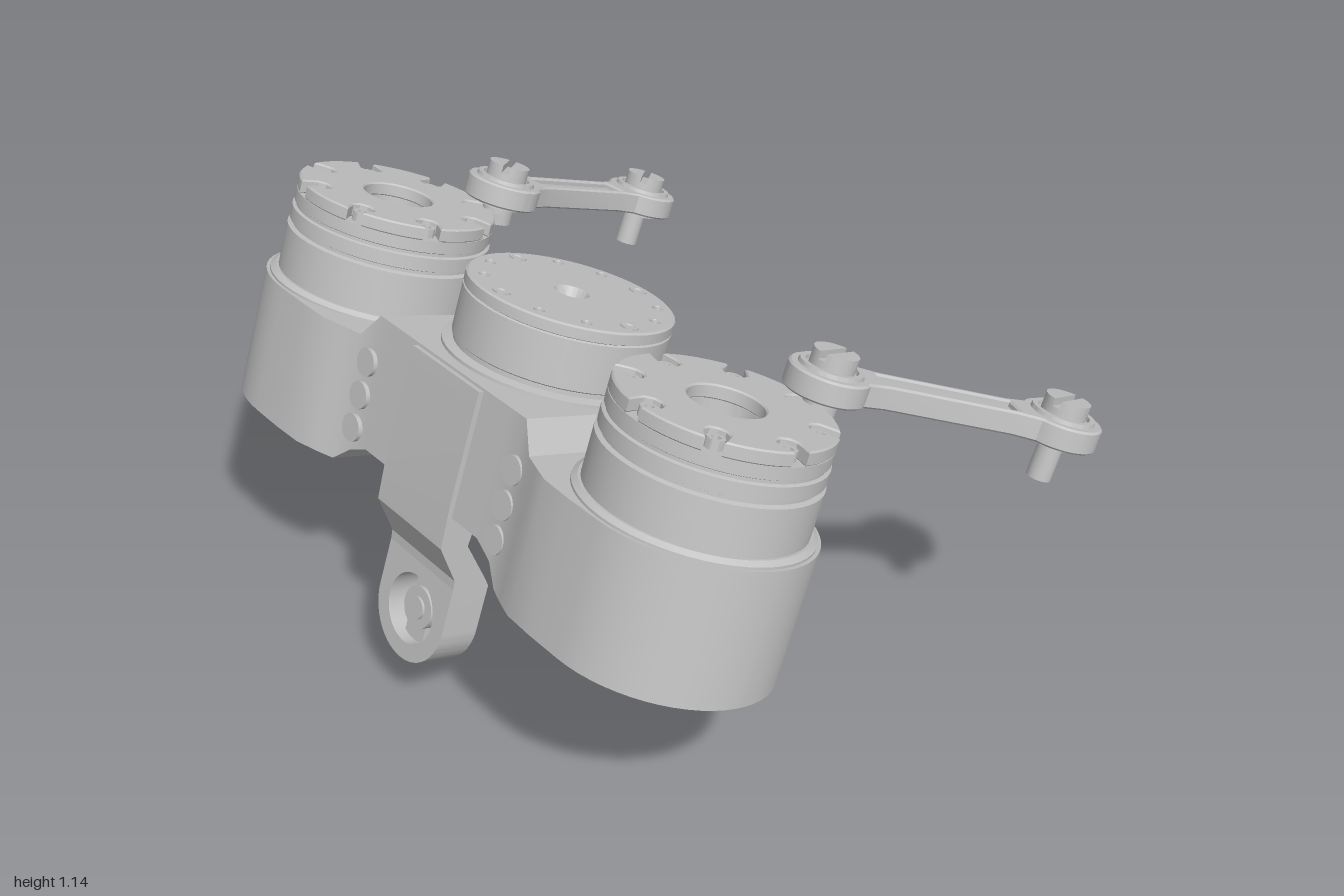
import * as THREE from 'three';
import { toCreasedNormals } from 'three/addons/utils/BufferGeometryUtils.js';

const metal = new THREE.MeshStandardMaterial({ color: 0xc1c1c1 });
metal.name = 'grey metal';
const V = (x, y, z) => new THREE.Vector3(x, y, z);

function add(parent, name, geo, x = 0, y = 0, z = 0) {
  const m = new THREE.Mesh(geo, metal);
  m.name = name;
  m.position.set(x, y, z);
  parent.add(m);
  return m;
}
const group = (parent, name) => {
  const g = new THREE.Group();
  g.name = name;
  parent.add(g);
  return g;
};
const cyl = (r, h, n = 24) => new THREE.CylinderGeometry(r, r, h, n);
const lathe = (pts) => toCreasedNormals(
  new THREE.LatheGeometry(pts.map(p => new THREE.Vector2(p[0], p[1])), 56), 0.5);

// Flat shape raised upwards
function slab(shape, h, bevel = 0) {
  const g = new THREE.ExtrudeGeometry(shape, {
    depth: h - 2 * bevel, curveSegments: 20, bevelEnabled: bevel > 0,
    bevelSize: bevel, bevelThickness: bevel, bevelOffset: -bevel, bevelSegments: 1 });
  g.translate(0, 0, bevel).rotateX(-Math.PI / 2);
  return toCreasedNormals(g, 0.5);
}

// Skin over a row of four-cornered rings, capped at both ends
function loft(rings) {
  const pos = [];
  const quad = (a, b, c, d) => [a, b, c, a, c, d].forEach(p => pos.push(p.x, p.y, p.z));
  for (let i = 0; i < rings.length - 1; i++)
    for (let k = 0; k < 4; k++) {
      const n = (k + 1) % 4;
      quad(rings[i][k], rings[i][n], rings[i + 1][n], rings[i + 1][k]);
    }
  quad(...[...rings[0]].reverse());
  quad(...rings[rings.length - 1]);
  const g = new THREE.BufferGeometry();
  g.setAttribute('position', new THREE.Float32BufferAttribute(pos, 3));
  return toCreasedNormals(g, 0.45);
}

const MOTOR_X = -0.545, MOTOR_Z = 0.65;

// Housing: sections along z as [z, back, front, bottom, top]
function housing(parent) {
  const half = [
    [0.12, -0.785, -0.143, 0.389, 0.727], [0.24, -0.785, -0.158, 0.389, 0.727],
    [0.3, -0.785, -0.172, 0.36, 0.727], [0.35, -0.795, -0.195, 0.313, 0.657],
    [0.4, -0.815, -0.215, 0.311, 0.657], [0.46, -0.837, -0.233, 0.311, 0.657],
    [0.55, -0.842, -0.246, 0.311, 0.657]];
  for (let i = 0; i <= 14; i++) {
    const a = i / 14 * 1.54, c = 0.297 * Math.cos(a);
    half.push([MOTOR_Z + 0.297 * Math.sin(a), MOTOR_X - c, MOTOR_X + c, 0.311, 0.657]);
  }
  const all = [...half.map(s => [-s[0], ...s.slice(1)]).reverse(), ...half];
  add(parent, 'housing', loft(all.map(([z, b, f, lo, hi]) =>
    [V(b, lo, z), V(f, lo, z), V(f, hi, z), V(b, hi, z)])));
  for (const s of [-1, 1]) {
    // Screws up the back, collar
    for (let i = 0; i < 3; i++)
      add(parent, 'backScrew', cyl(0.036, 0.03), -0.782, 0.42 + i * 0.09, s * 0.305).rotation.z = Math.PI / 2;
    add(parent, 'collar', lathe([[0.288, 0], [0.288, 0.008], [0.275, 0.018], [0.2, 0.018]]), MOTOR_X, 0.655, s * MOTOR_Z);
  }
  // Bottom covers with their screws
  for (const [z, y, x] of [[-MOTOR_Z, 0.306, MOTOR_X], [0, 0.384, -0.465], [MOTOR_Z, 0.306, MOTOR_X]]) {
    add(parent, 'bottomCover', cyl(0.25, 0.012, 48), x, y, z);
    add(parent, 'bottomHub', cyl(0.06, 0.02), x, y, z);
    for (let i = 0; i < 8; i++) {
      const a = i * Math.PI / 4 + 0.2;
      add(parent, 'bottomScrew', cyl(0.03, 0.026, 16), x + 0.2 * Math.cos(a), y, z + 0.2 * Math.sin(a));
    }
  }
}

// Notched ring around a central bore
function capShape(turn) {
  const s = new THREE.Shape(), N = 8, R = 0.262, pts = [];
  const at = (r, a) => pts.push(new THREE.Vector2(r * Math.cos(a), r * Math.sin(a)));
  for (let i = 0; i < N; i++) {
    const t = i * 2 * Math.PI / N + turn;
    at(R, t - 0.08);
    for (let k = 0; k <= 6; k++) {
      const p = t - 1.1 - k / 6 * (2 * Math.PI - 2.2);
      pts.push(new THREE.Vector2(0.218 * Math.cos(t) + 0.03 * Math.cos(p), 0.218 * Math.sin(t) + 0.03 * Math.sin(p)));
    }
    for (let k = 0; k < 7; k++) at(R, t + 0.08 + k / 7 * (2 * Math.PI / N - 0.16));
  }
  s.setFromPoints(pts);
  s.holes.push(new THREE.Path().absarc(0, 0, 0.092, 0, 2 * Math.PI, true));
  return s;
}

function outerMotor(parent, side) {
  const g = group(parent, 'outerMotor'), turn = side > 0 ? -0.07 : 0.54;
  g.position.set(MOTOR_X, 0, side * MOTOR_Z);
  add(g, 'motorBody', lathe([[0.268, 0.65], [0.268, 0.792], [0.255, 0.796], [0.255, 0.804], [0.265, 0.808],
    [0.265, 0.843], [0.256, 0.846], [0.256, 0.854], [0.262, 0.857], [0.262, 0.888],
    [0.092, 0.888], [0.092, 0.85], [0.05, 0.85], [0.04, 0.81], [0, 0.81]]));
  add(g, 'cap', slab(capShape(turn), 0.036, 0.004), 0, 0.887, 0);
  for (let i = 0; i < 8; i++) {
    const a = i * Math.PI / 4 + turn;
    add(g, 'capBolt', lathe([[0.022, 0], [0.022, 0.025], [0.011, 0.025], [0.011, 0.01], [0, 0.01]]),
      0.218 * Math.cos(a), 0.887, -0.218 * Math.sin(a));
  }
}

function middleMotor(parent) {
  const g = group(parent, 'middleMotor');
  g.position.set(-0.465, 0, 0);
  add(g, 'motorBody', lathe([[0.285, 0.72], [0.285, 0.735], [0.258, 0.74], [0.258, 0.752], [0.264, 0.756],
    [0.264, 0.878], [0.258, 0.881], [0.264, 0.884], [0.264, 0.91], [0.258, 0.914],
    [0.045, 0.914], [0.03, 0.889], [0, 0.884]]));
  for (let i = 0; i < 12; i++) {
    const a = i * Math.PI / 6, big = i % 3 === 0, r = big ? 0.022 : 0.014;
    add(g, big ? 'faceScrew' : 'facePin', lathe([[r, 0], [r, 0.005], [r * 0.6, 0.005], [r * 0.5, 0.002], [0, 0.002]]),
      0.222 * Math.cos(a), 0.913, 0.222 * Math.sin(a));
  }
}

// Mounting leg: neck lofted upwards as [y, back, front], then a rounded eye
function leg(parent, name, neck, x0, depth, inward, taper) {
  const g = group(parent, name), W = 0.137, cy = 0.057;
  add(g, 'neck', loft(neck.map(([y, b, f]) => [V(b, y, W), V(f, y, W), V(f, y, -W), V(b, y, -W)])));
  const s = new THREE.Shape();
  s.moveTo(W, neck[0][0]);
  s.lineTo(-W, neck[0][0]);
  s.absarc(0, cy, W, Math.PI, 2 * Math.PI, false);
  s.holes.push(new THREE.Path().absarc(0, cy, 0.092, 0, 2 * Math.PI, true));
  const eye = new THREE.ExtrudeGeometry(s, { depth, bevelEnabled: false, curveSegments: 24 });
  eye.rotateY(Math.PI / 2);
  // Thin the front face towards the tip
  const p = eye.attributes.position;
  for (let i = 0; i < p.count; i++)
    if (p.getX(i) > depth / 2) p.setX(i, depth - taper * (neck[0][0] - p.getY(i)));
  add(g, 'eye', toCreasedNormals(eye, 0.5), x0, 0, 0);
  // Hub held in the eye by a bar, with a small locking bolt
  const mid = x0 + depth / 2;
  const hub = (n, r, h, x, y, z) => { add(g, n, cyl(r, h), x, y, z).rotation.z = Math.PI / 2; };
  hub('hub', 0.056, depth * 0.6, mid, cy, 0);
  hub('hubPin', 0.03, depth + 0.01, mid + inward * 0.02, cy, 0);
  hub('lockBolt', 0.024, depth + 0.01, mid + inward * 0.02, 0.14, -0.095);
  add(g, 'hubBar', new THREE.BoxGeometry(depth * 0.4, 0.19, 0.075), mid, cy, 0);
}

// Link arm running from p to q
function arm(parent, p, q) {
  const g = group(parent, 'linkArm'), L = p.distanceTo(q);
  const x = q.clone().sub(p).normalize();
  const z = x.clone().cross(V(0, 1, 0)).normalize();
  g.setRotationFromMatrix(new THREE.Matrix4().makeBasis(x, z.clone().cross(x), z));
  g.position.copy(p);
  const R = 0.1, f = 0.62, s = new THREE.Shape();
  s.absarc(0, 0, R, f, 2 * Math.PI - f, false);
  s.lineTo(0.14, -0.046);
  s.lineTo(L - 0.14, -0.046);
  s.absarc(L, 0, R, Math.PI + f, 3 * Math.PI - f, false);
  s.lineTo(L - 0.14, 0.046);
  s.lineTo(0.14, 0.046);
  const slot = new THREE.Path();
  slot.setFromPoints([[0.13, -0.03], [0.13, 0.03], [L - 0.13, 0.03], [L - 0.13, -0.03]]
    .map(c => new THREE.Vector2(...c)));
  s.holes.push(slot);
  add(g, 'armFrame', slab(s, 0.06, 0.005), 0, -0.03, 0);
  add(g, 'armWeb', new THREE.BoxGeometry(L - 0.22, 0.03, 0.066), L / 2, 0, 0);
  const halfHead = new THREE.Shape();
  halfHead.absarc(0, 0, 0.055, 0.18, Math.PI - 0.18, false);
  const headGeo = slab(halfHead, 0.02);
  for (const ex of [0, L]) {
    add(g, 'armRing', lathe([[0.08, 0], [0.077, 0.012], [0.064, 0.012], [0.062, 0.002]]), ex, 0.028, 0);
    add(g, 'boltHead', cyl(0.055, 0.04), ex, 0.035, 0);
    for (const r of [0.6, 0.6 + Math.PI])
      add(g, 'slottedTop', headGeo, ex, 0.054, 0).rotation.y = r;
    add(g, 'lowerWasher', cyl(0.06, 0.016), ex, -0.034, 0);
  }
  add(g, 'endPin', cyl(0.031, 0.12), L, -0.075, 0);
  // Lug joining the arm pivot to its motor cap
  const lug = group(parent, 'pivotLug');
  lug.position.set(p.x, 0, p.z);
  add(lug, 'lugPost', cyl(0.042, 0.07), 0, 0.92, 0);
  const dx = MOTOR_X - p.x, dz = Math.sign(p.z) * MOTOR_Z - p.z;
  const bridge = add(lug, 'lugBridge', new THREE.BoxGeometry(0.1, 0.03, 0.084), dx * 0.18, 0.902, dz * 0.18);
  bridge.rotation.y = -Math.atan2(dz, dx);
}

export function createModel() {
  const model = new THREE.Group();
  model.name = 'tripleMotorUnit';
  const tilt = group(model, 'tiltedAssembly');
  tilt.rotation.z = -THREE.MathUtils.degToRad(19.5);
  tilt.position.z = -0.055;

  housing(tilt);
  for (const s of [-1, 1]) outerMotor(tilt, s);
  middleMotor(tilt);
  leg(tilt, 'backLeg', [[0.185, -0.722, -0.613], [0.21, -0.725, -0.632], [0.305, -0.794, -0.712],
    [0.42, -0.8, -0.7], [0.72, -0.8, -0.7]], -0.722, 0.109, 1, 0);
  leg(tilt, 'frontLeg', [[0.13, -0.294, -0.184], [0.194, -0.287, -0.174], [0.215, -0.279, -0.165],
    [0.286, -0.207, -0.146], [0.4, -0.2, -0.142]], -0.294, 0.11, -1, 0.21);
  arm(tilt, V(-0.262, 0.972, 0.677), V(0.29, 0.956, 0.952));
  arm(tilt, V(-0.262, 0.972, -0.577), V(0.334, 0.936, -0.662));
  return model;
}
